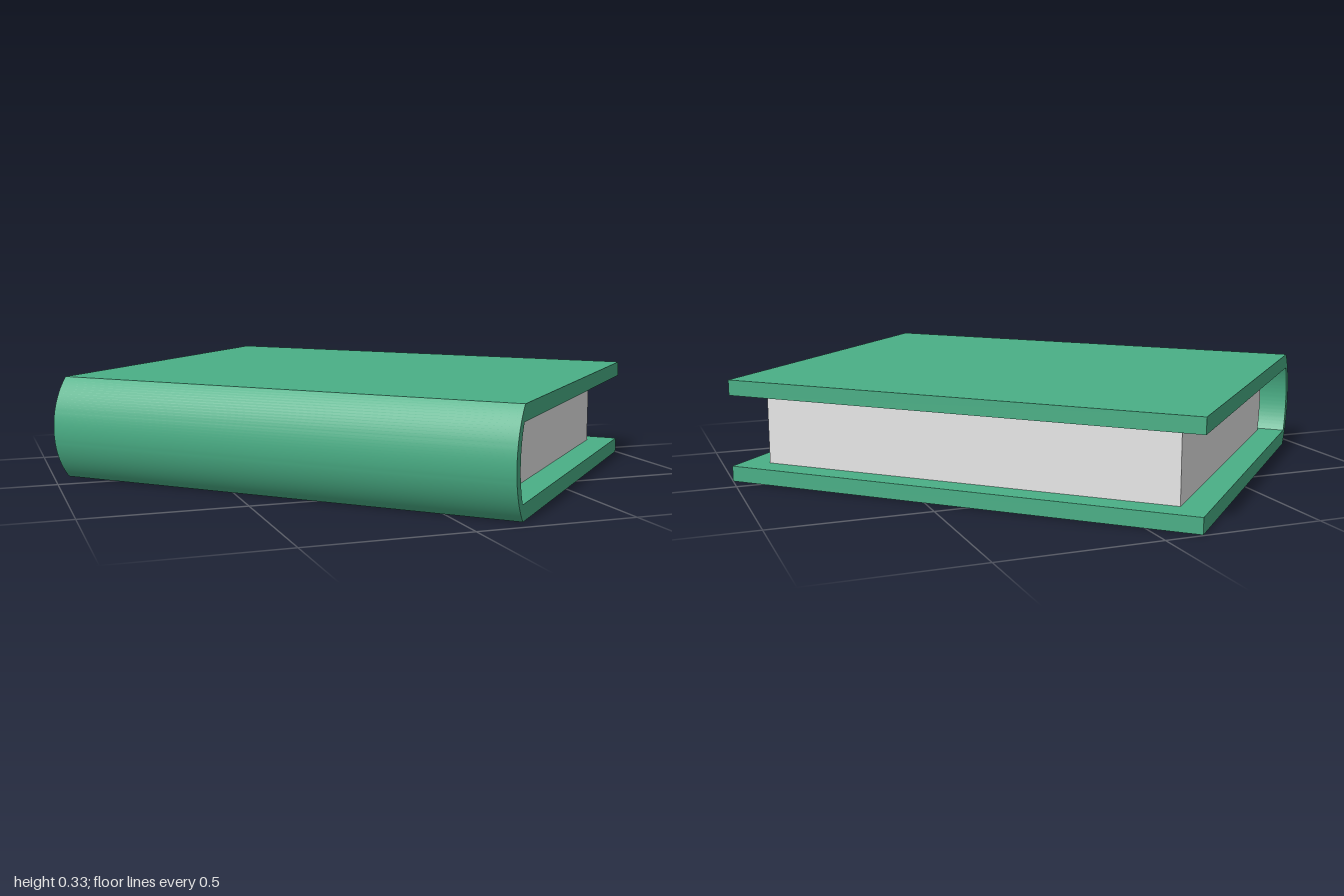
import * as THREE from 'three';
import { toCreasedNormals } from 'three/addons/utils/BufferGeometryUtils.js';

const W = 1.273, L = 1.549, H = 0.332, T = 0.05; // width, spine length, height, board thickness

// Bulged arc between (edge, H/2 -+ half), reaching out to x = mid
function spineArc(shape, mid, edge, half, upward) {
  const s = edge - mid;
  const r = (half * half + s * s) / (2 * s);
  const a = Math.asin(half / r);
  if (upward) shape.absarc(mid + r, H / 2, r, Math.PI + a, Math.PI - a, true);
  else shape.absarc(mid + r, H / 2, r, Math.PI - a, Math.PI + a, false);
}

// Extrude a profile along the spine direction, centred
function extrudeAlongSpine(name, shape, depth, material) {
  let geo = new THREE.ExtrudeGeometry(shape, { depth, bevelEnabled: false, curveSegments: 20 });
  geo.translate(-W / 2, 0, -depth / 2);
  geo = toCreasedNormals(geo, 0.4);
  const mesh = new THREE.Mesh(geo, material);
  mesh.name = name;
  return mesh;
}

export function createModel() {
  const green = new THREE.MeshStandardMaterial({ color: 0x4aaf86 });
  green.name = 'cover green';
  const white = new THREE.MeshStandardMaterial({ color: 0xeeeeee });
  white.name = 'paper white';

  // Cover: two boards joined by a rounded spine
  const cover = new THREE.Shape();
  cover.moveTo(W, 0);
  cover.lineTo(W, T);
  spineArc(cover, 0.036, 0.065, H / 2 - T, true);
  cover.lineTo(W, H - T);
  cover.lineTo(W, H);
  spineArc(cover, 0, 0.07, H / 2, false);
  cover.closePath();

  // Page block: set in from the boards, rounded towards the spine
  const pages = new THREE.Shape();
  pages.moveTo(W - 0.082, T);
  pages.lineTo(W - 0.082, H - T);
  spineArc(pages, 0.074, 0.1, H / 2 - T, false);
  pages.closePath();

  const book = new THREE.Group();
  book.name = 'book';
  book.add(extrudeAlongSpine('cover', cover, L, green));
  book.add(extrudeAlongSpine('pages', pages, L - 0.176, white));
  book.rotation.y = Math.atan2(0.723, 0.691); // lies turned on the ground

  const model = new THREE.Group();
  model.name = 'model';
  model.add(book);
  return model;
}
